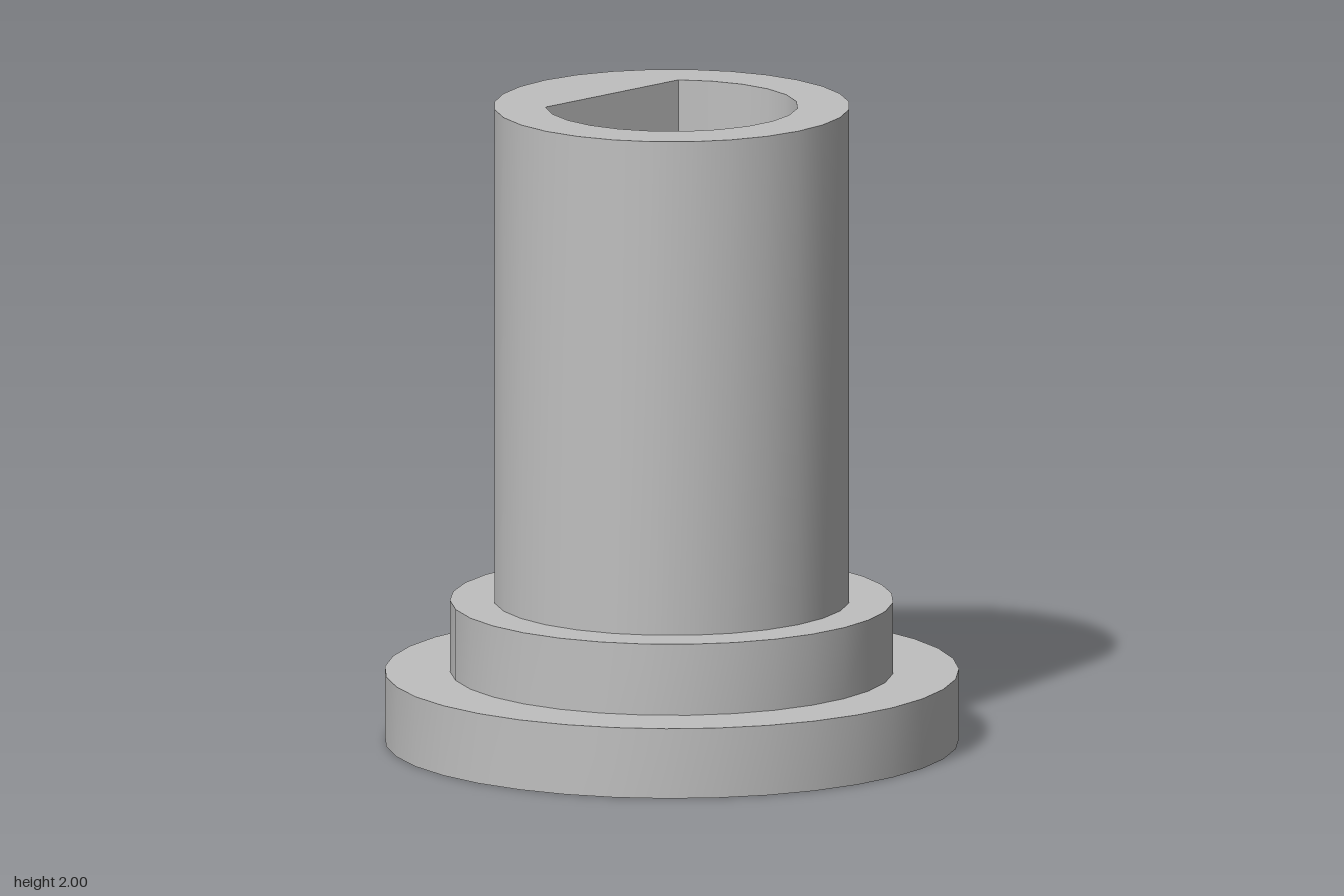
import * as THREE from 'three';
import { toCreasedNormals } from 'three/addons/utils/BufferGeometryUtils.js';

const steel = new THREE.MeshStandardMaterial({ color: 0xbfbfbf });
steel.name = 'plain grey';

// Outline of a round step, counter-clockwise, with a corner on -x
function circle(radius, sides) {
  return Array.from({ length: sides }, (_, i) => {
    const a = Math.PI + (i / sides) * Math.PI * 2;
    return new THREE.Vector2(Math.cos(a) * radius, Math.sin(a) * radius);
  });
}

// D-shaped outline: an arc closed by a flat at x = flatX
function dOutline(radius, flatX, sides) {
  const end = Math.acos(flatX / radius);
  return Array.from({ length: sides + 1 }, (_, i) => {
    const a = -end + (i / sides) * end * 2;
    return new THREE.Vector2(Math.cos(a) * radius, Math.sin(a) * radius);
  });
}

// Upright wall along a closed outline
function wall(name, outline, y0, y1) {
  const n = outline.length;
  const geometry = new THREE.PlaneGeometry(1, 1, n, 1);
  const position = geometry.attributes.position;
  for (let i = 0; i < position.count; i++) {
    const p = outline[(i % (n + 1)) % n];
    position.setXYZ(i, p.x, i <= n ? y1 : y0, -p.y);
  }
  const mesh = new THREE.Mesh(toCreasedNormals(geometry, 0.5), steel);
  mesh.name = name;
  return mesh;
}

// Flat ring between two outlines, facing up or down
function ring(name, outer, inner, y, up = true) {
  const shape = new THREE.Shape(outer);
  shape.holes.push(new THREE.Path(inner));
  const geometry = new THREE.ShapeGeometry(shape);
  geometry.rotateX(up ? -Math.PI / 2 : Math.PI / 2);
  geometry.translate(0, y, 0);
  const mesh = new THREE.Mesh(geometry, steel);
  mesh.name = name;
  return mesh;
}

export function createModel() {
  const group = new THREE.Group();
  group.name = 'flangedBushing';

  const bore = dOutline(0.39, -0.26, 17);
  const steps = [
    { name: 'flange', outline: circle(0.887, 35), y0: 0, y1: 0.22 },
    { name: 'collar', outline: circle(0.685, 31), y0: 0.22, y1: 0.444 },
    { name: 'sleeve', outline: circle(0.55, 28), y0: 0.444, y1: 2 },
  ];

  // Each step has an outer wall and a ledge reaching in to the next step
  steps.forEach(({ name, outline, y0, y1 }, i) => {
    const inner = steps[i + 1]?.outline ?? bore;
    group.add(wall(name + 'Wall', outline, y0, y1));
    group.add(ring(name + 'Top', outline, inner, y1));
  });

  // Underside and the D-shaped bore running right through
  group.add(ring('underside', steps[0].outline, bore, 0, false));
  group.add(wall('bore', [...bore].reverse(), 0, 2));

  return group;
}
